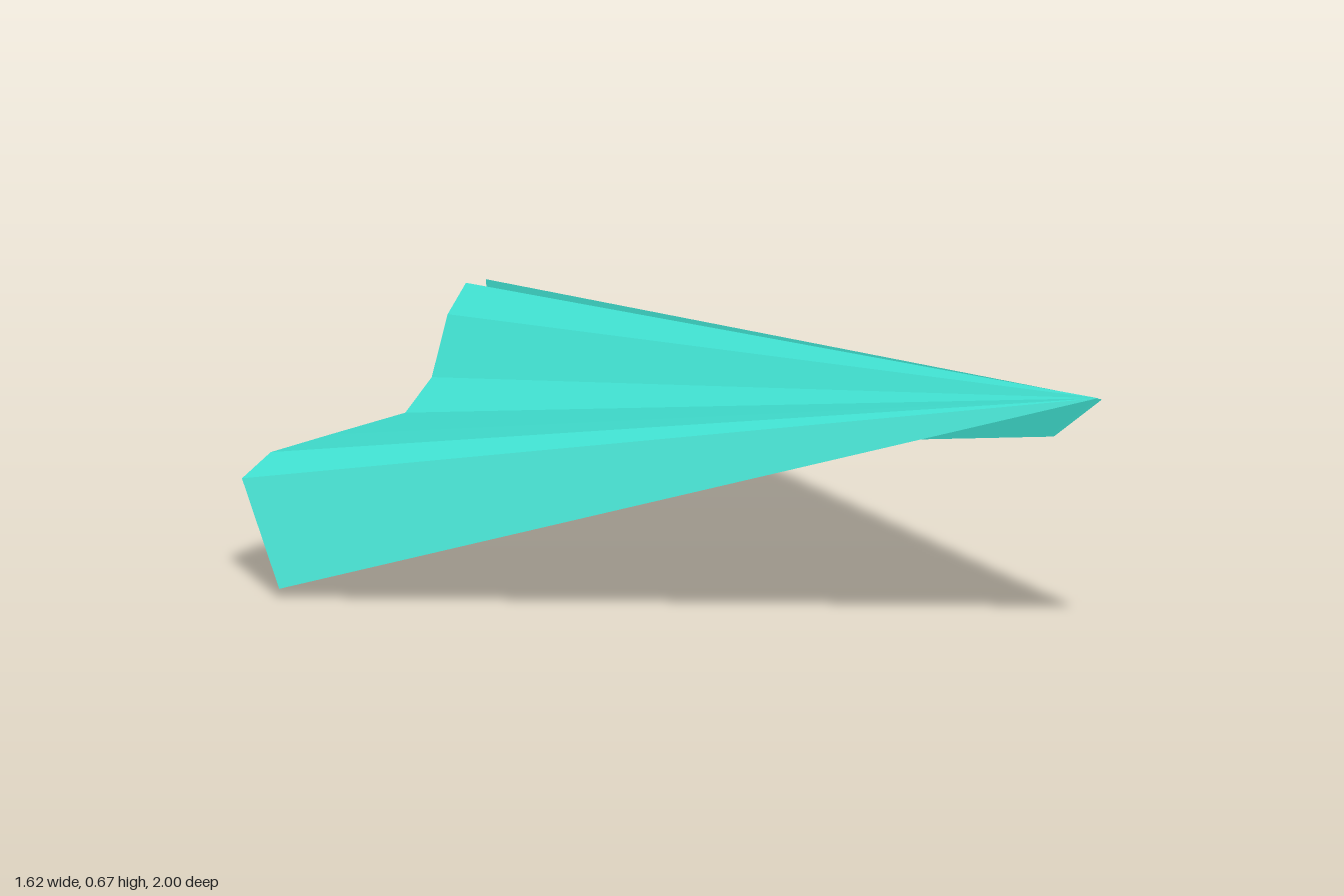
import * as THREE from 'three';

// Rear cross-section of the +x half, from the centre slot outwards
const TOP = [
  [0.035, 0.575, -0.95], [0.134, 0.524, -0.92], [0.213, 0.39, -0.9], [0.318, 0.326, -0.89],
  [0.528, 0.305, -0.94], [0.687, 0.285, -0.985], [0.772, 0.235, -1],
];
const BELOW = [
  [0, 0.185, -0.87], [0.075, 0.348, -0.88], [0.195, 0.222, -0.9], [0.27, 0.172, -0.9],
  [0.37, 0.117, -0.91], [0.705, 0.165, -1], [0.81, 0.002, -0.85],
];
const NOSE = [0.007, 0.67, 1];
const KEEL_FRONT = [0.006, 0.55, 0.85];

export function createModel() {
  const paper = new THREE.MeshStandardMaterial({ color: 0x40e0d0, flatShading: true, side: THREE.DoubleSide });
  paper.name = 'turquoise paper';
  const model = new THREE.Group();
  model.name = 'paperPlane';

  for (const side of [1, -1]) {
    const half = new THREE.Group();
    half.name = side > 0 ? 'leftHalf' : 'rightHalf';
    model.add(half);

    // The right half sits slightly higher, as a hand-folded sheet would
    const place = ([x, y, z]) => [side * x, side > 0 ? y : y + 0.006 + 0.022 * x, z];

    const addPart = (name, triangles) => {
      const points = triangles.flatMap(([a, b, c]) => (side > 0 ? [a, b, c] : [a, c, b]).flatMap(place));
      const geometry = new THREE.BufferGeometry();
      geometry.setAttribute('position', new THREE.Float32BufferAttribute(points, 3));
      geometry.computeVertexNormals();
      const mesh = new THREE.Mesh(geometry, paper);
      mesh.name = name;
      half.add(mesh);
    };

    // Pleats fan out from the nose to the rear edge
    const upper = [], lower = [], rear = [];
    for (let i = 0; i < TOP.length - 1; i++) {
      upper.push([NOSE, TOP[i + 1], TOP[i]]);
      lower.push([NOSE, BELOW[i], BELOW[i + 1]]);
      rear.push([TOP[i], TOP[i + 1], BELOW[i + 1]], [TOP[i], BELOW[i + 1], BELOW[i]]);
    }
    addPart('upperWing', upper);
    addPart('underside', lower);
    addPart('rearEdge', rear);

    // Folded-down wing edge, centre slot wall and keel strip
    addPart('wingFlap', [[NOSE, BELOW[6], TOP[6]]]);
    addPart('slotWall', [[NOSE, TOP[0], BELOW[0]]]);
    addPart('keel', [[NOSE, KEEL_FRONT, BELOW[0]]]);
  }
  return model;
}
